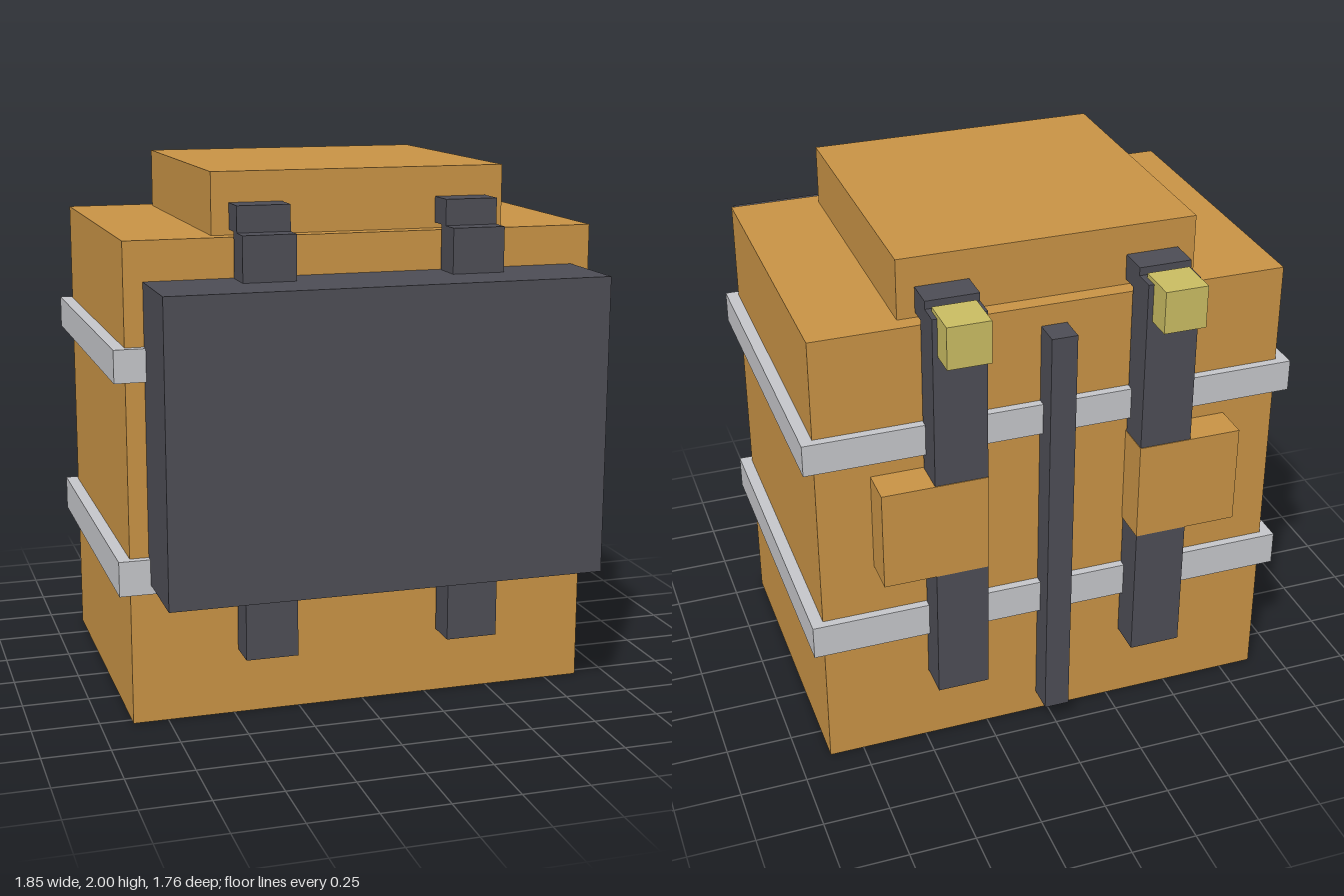
import * as THREE from 'three';

export function createModel() {
  const model = new THREE.Group();
  model.name = 'backpack';
  const material = (name, color) => {
    const m = new THREE.MeshStandardMaterial({ color });
    m.name = name;
    return m;
  };
  const canvas = material('ochre canvas', 0xc89345);
  const leather = material('dark leather', 0x4d4d55);
  const metal = material('light metal', 0xc5c6ca);
  const brass = material('pale brass', 0xc9bc62);

  // Box given by its [min, max] range on each axis
  const box = (name, mat, [x0, x1], [y0, y1], [z0, z1]) => {
    const mesh = new THREE.Mesh(new THREE.BoxGeometry(x1 - x0, y1 - y0, z1 - z0), mat);
    mesh.position.set((x0 + x1) / 2, (y0 + y1) / 2, (z0 + z1) / 2);
    mesh.name = name;
    model.add(mesh);
  };
  // Same box on both sides of x = 0
  const pair = (name, mat, [x0, x1], y, z) => {
    box(name + 'Left', mat, [x0, x1], y, z);
    box(name + 'Right', mat, [-x1, -x0], y, z);
  };

  // Main bag, lid and front pocket
  box('body', canvas, [-0.88, 0.88], [0, 1.775], [-0.645, 0.535]);
  box('lid', canvas, [-0.55, 0.55], [1.77, 2], [-0.585, 0.475]);
  box('frontPocket', leather, [-0.81, 0.81], [0.535, 1.63], [0.53, 0.88]);

  // Bands around the body
  box('lowerBand', metal, [-0.925, 0.925], [0.5, 0.63], [-0.677, 0.565]);
  box('upperBand', metal, [-0.925, 0.925], [1.28, 1.4], [-0.677, 0.565]);

  // Straps: down the front, over the top, down the back
  const strapX = [0.29, 0.485];
  pair('frontStrap', leather, strapX, [0.25, 1.795], [0.545, 0.67]);
  pair('topStrap', leather, strapX, [1.795, 1.89], [-0.7, 0.59]);
  pair('backStrap', leather, strapX, [0.31, 1.86], [-0.78, -0.65]);
  box('spineStrap', leather, [-0.048, 0.048], [0.085, 1.695], [-0.75, -0.64]);

  // Back pads and shoulder buckles
  pair('backPad', canvas, [0.288, 0.68], [0.83, 1.21], [-0.783, -0.64]);
  pair('buckle', brass, [0.31, 0.467], [1.718, 1.876], [-0.88, -0.72]);

  return model;
}
